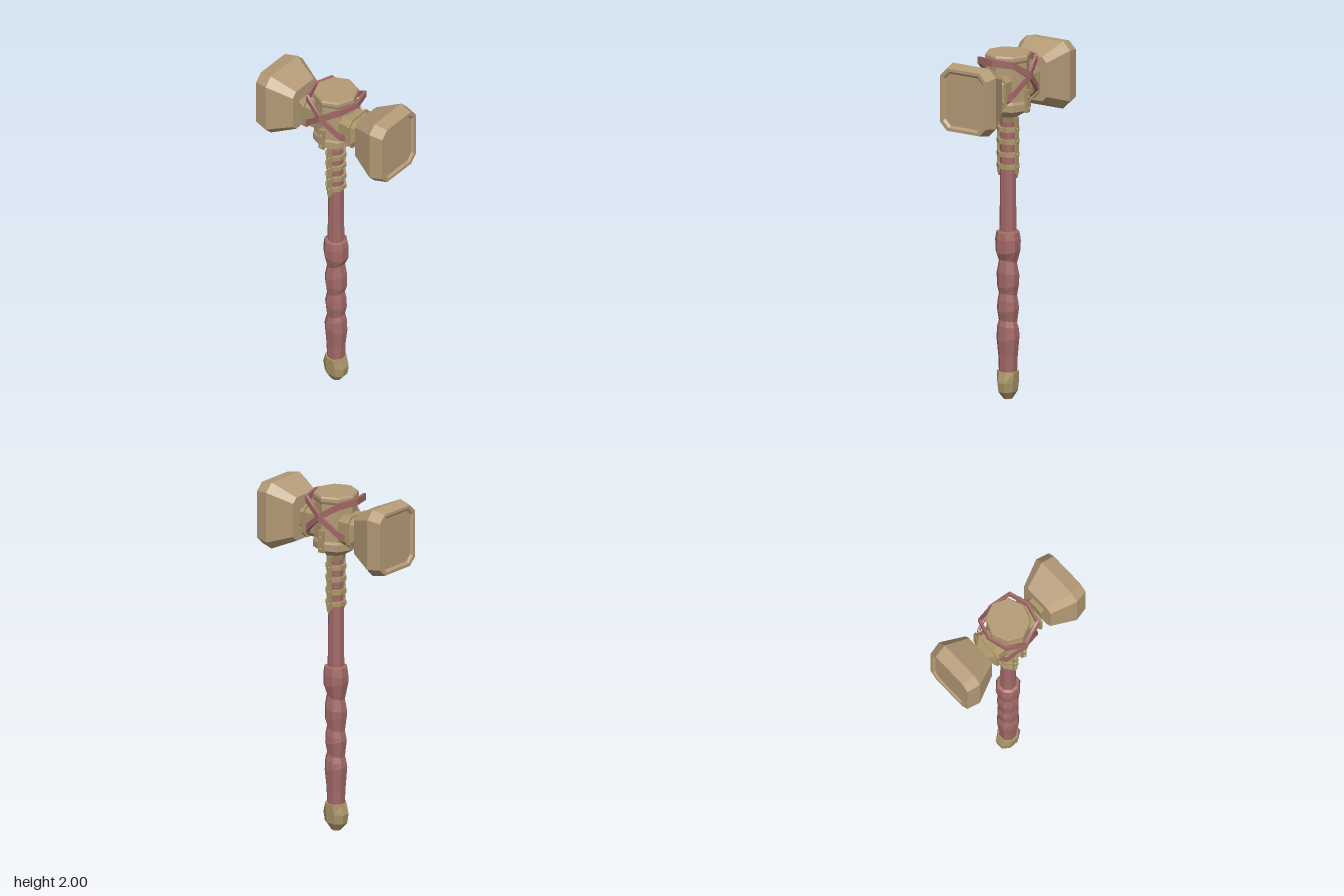
import * as THREE from 'three';

const mat = (name, color) => {
  const m = new THREE.MeshStandardMaterial({ color, flatShading: true });
  m.name = name;
  return m;
};

// Skin a list of rings; each ring runs anticlockwise seen from the last ring
function loft(rings, caps = true) {
  const pos = [];
  const tri = (...pts) => pts.forEach((p) => pos.push(...p));
  const n = rings[0].length;
  for (let i = 0; i < rings.length - 1; i++) {
    for (let j = 0; j < n; j++) {
      const k = (j + 1) % n;
      const a = rings[i][j], b = rings[i][k], c = rings[i + 1][k], d = rings[i + 1][j];
      tri(a, b, c);
      tri(a, c, d);
    }
  }
  if (caps) {
    const first = rings[0], last = rings[rings.length - 1];
    for (let j = 1; j < n - 1; j++) {
      tri(first[0], first[j + 1], first[j]);
      tri(last[0], last[j], last[j + 1]);
    }
  }
  const g = new THREE.BufferGeometry();
  g.setAttribute('position', new THREE.Float32BufferAttribute(pos, 3));
  g.computeVertexNormals();
  return g;
}

// Eight-sided upright ring; rx and rz reach the corners, flat puts a face to the front
function ringY(y, rx, rz = rx, flat = true, tilt = 0) {
  return Array.from({ length: 8 }, (_, i) => {
    const t = ((i + (flat ? 0.5 : 0)) * Math.PI) / 4;
    const x = Math.sin(t) * rx;
    return [x, y + tilt * x, Math.cos(t) * rz];
  });
}

// Rectangle with cut corners, standing across the x axis
function ringX(x, hy, hz, c, cy = 1.805) {
  return [
    [hy, -hz + c], [hy, hz - c], [hy - c, hz], [-hy + c, hz],
    [-hy, hz - c], [-hy, -hz + c], [-hy + c, -hz], [hy - c, -hz],
  ].map(([y, z]) => [x, cy + y, z]);
}

export function createModel() {
  const stone = mat('tan stone', 0xb59b77);
  const brass = mat('aged brass', 0xab9669);
  const leather = mat('red leather', 0xa26a68);

  const model = new THREE.Group();
  model.name = 'warHammer';
  const add = (name, geo, material, parent = model) => {
    const m = new THREE.Mesh(geo, material);
    m.name = name;
    parent.add(m);
    return m;
  };

  // Pommel, flattened from front to back
  add('pommel', loft([
    ringY(0, 0.03, 0.025), ringY(0.045, 0.07, 0.052),
    ringY(0.1, 0.079, 0.058), ringY(0.16, 0.06, 0.063),
  ]), brass);

  // Lumpy wrapped grip
  add('grip', loft([
    [0.15, 0.052, 0], [0.24, 0.055, 0.1], [0.36, 0.066, -0.25], [0.41, 0.062, 0.2],
    [0.445, 0.052, 0.2], [0.52, 0.063, -0.2], [0.56, 0.06, 0.2], [0.6, 0.052, 0.25],
    [0.66, 0.063, -0.2], [0.72, 0.065, 0.2], [0.79, 0.052, 0.3], [0.86, 0.072, -0.2],
    [0.92, 0.073, 0.1], [0.965, 0.066, 0], [0.97, 0.05, 0],
  ].map(([y, r, tilt]) => ringY(y, r, r, true, tilt))), leather);

  // Upper shaft
  add('shaft', loft([ringY(0.95, 0.049), ringY(1.2, 0.046), ringY(1.64, 0.043)]), leather);

  // Bands around the shaft
  const bandHeights = [1.345, 1.415, 1.49, 1.56];
  for (const y of bandHeights) {
    add('shaftBand', loft([ringY(y - 0.013, 0.058, 0.066), ringY(y + 0.013, 0.058, 0.066)]), brass);
  }

  // Front and back fittings: pointed strip, rivets and barrel plate
  const strip = new THREE.Shape([
    [0, 1.28], [0.016, 1.31], [0.016, 1.63], [-0.016, 1.63], [-0.016, 1.31],
  ].map(([x, y]) => new THREE.Vector2(x, y)));
  const stripGeo = new THREE.ExtrudeGeometry(strip, { depth: 0.008, bevelEnabled: false });
  const rivetGeo = new THREE.CylinderGeometry(0.007, 0.01, 0.012, 6).rotateX(Math.PI / 2);
  for (const turn of [0, Math.PI]) {
    const side = new THREE.Group();
    side.name = turn ? 'backFittings' : 'frontFittings';
    side.rotation.y = turn;
    model.add(side);
    add('shaftStrip', stripGeo, brass, side).position.z = 0.055;
    for (const y of bandHeights) add('rivet', rivetGeo, brass, side).position.set(0, y, 0.067);
    add('barrelPlate', new THREE.BoxGeometry(0.034, 0.13, 0.02), brass, side)
      .position.set(0, 1.735, 0.127);
    for (const y of [1.69, 1.76]) add('rivet', rivetGeo, brass, side).position.set(0, y, 0.141);
  }

  // Central barrel of the head
  add('barrel', loft([
    [1.6, 0.045], [1.635, 0.058], [1.68, 0.126], [1.72, 0.127], [1.735, 0.12],
    [1.955, 0.118], [1.97, 0.126], [1.99, 0.126], [2, 0.12],
  ].map(([y, r]) => ringY(y, r, r * 1.05, false))), stone);

  // Two hammer heads with their necks
  for (const turn of [0, Math.PI]) {
    const side = new THREE.Group();
    side.name = turn ? 'rightHead' : 'leftHead';
    side.rotation.y = turn;
    model.add(side);
    add('neck', loft([
      ringX(0.06, 0.086, 0.086, 0.03), ringX(0.155, 0.086, 0.086, 0.03),
      ringX(0.155, 0.097, 0.1, 0.035), ringX(0.168, 0.097, 0.1, 0.035),
      ringX(0.168, 0.086, 0.088, 0.03), ringX(0.195, 0.054, 0.055, 0.016),
      ringX(0.23, 0.054, 0.055, 0.016),
    ]), brass, side);
    add('hammerHead', loft([
      ringX(0.22, 0.128, 0.11, 0.03), ringX(0.366, 0.195, 0.17, 0.048),
      ringX(0.445, 0.18, 0.154, 0.044), ringX(0.445, 0.163, 0.136, 0.038),
      ringX(0.433, 0.15, 0.126, 0.034),
    ]), stone, side);
  }

  // Two tilted leather straps that cross at the front and back
  for (const s of [1, -1]) {
    const rings = [];
    for (let i = 0; i <= 8; i++) {
      const t = ((i % 8) * Math.PI) / 4;
      const sin = Math.sin(t), cos = Math.cos(t);
      const swell = (i % 2 ? 1.1 : 1) + (s > 0 ? 0.03 : 0);
      const y = 1.885 + s * 0.122 * sin - 0.04 * sin ** 4;
      rings.push([[-1, -1], [1, -1], [1, 1], [-1, 1]].map(([v, w]) => {
        const r = 0.146 * swell + w * 0.008;
        return [sin * r, y + v * 0.02, cos * r];
      }));
    }
    add('crossStrap', loft(rings, false), leather);
  }

  return model;
}
